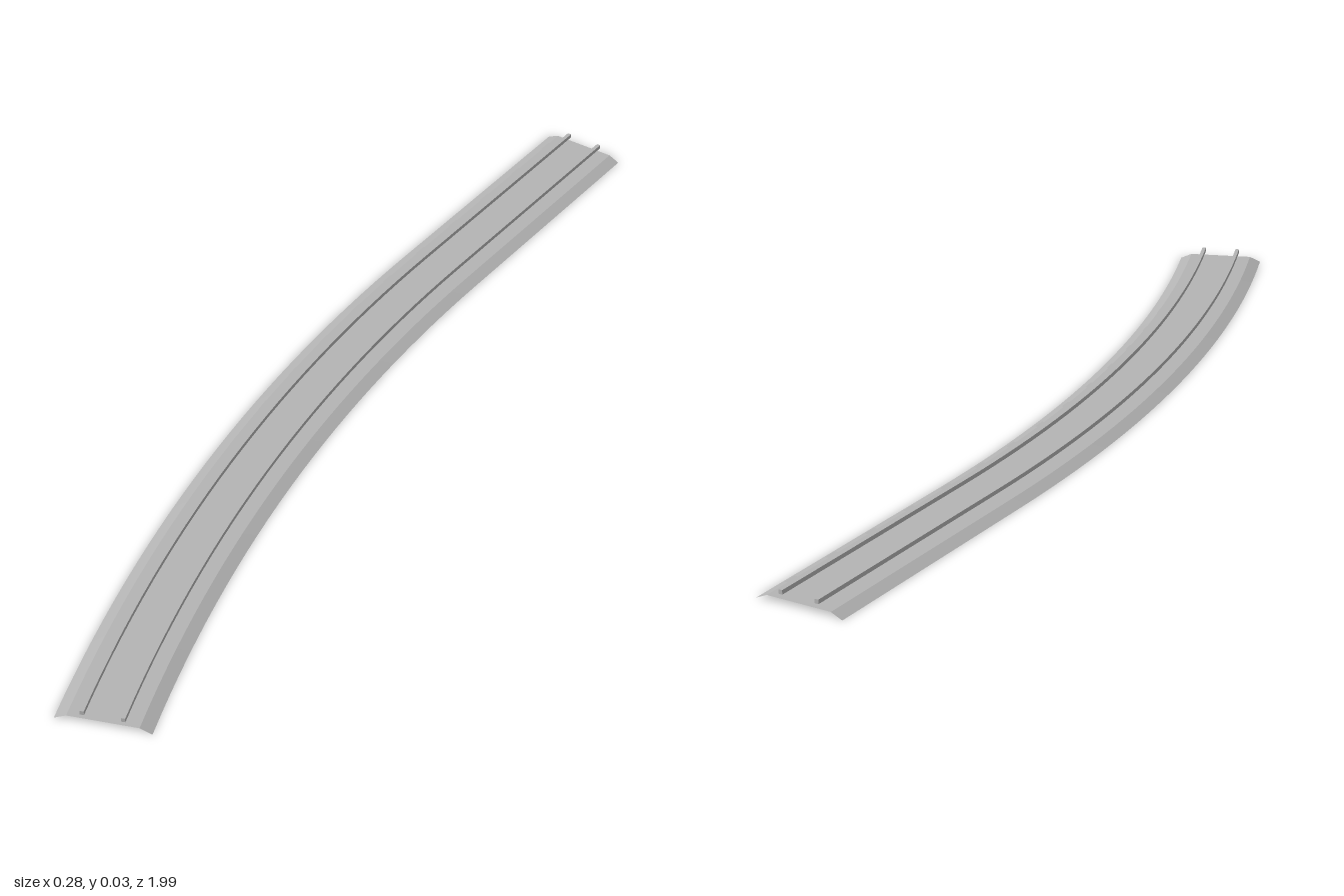
import * as THREE from 'three';

const Z0 = -0.987, Z1 = 0.975, BEND = -0.45; // track ends and the start of the curve
const SLOPE = -0.14, RATE = 0.27;

// Point at height y, offset sideways from the centre line (straight, then curving)
function trackPoint(z, offset, y) {
  const b = Math.max(0, z - BEND);
  const x = 0.053 + SLOPE * (z - Z0) + RATE * b * b / 2;
  const s = SLOPE + RATE * b, n = Math.hypot(1, s);
  return [x + offset / n, y, z - offset * s / n];
}

// Sweep a cross-section of [offset, y] points along the track, sharp across and smooth along
function sweep(profile, from, to, steps, capped = false) {
  const pos = [], idx = [];
  for (let j = 0; j < profile.length - 1; j++) {
    const base = pos.length / 3;
    for (let i = 0; i <= steps; i++) {
      const z = from + (to - from) * i / steps;
      pos.push(...trackPoint(z, ...profile[j]), ...trackPoint(z, ...profile[j + 1]));
      if (i < steps) {
        const a = base + i * 2;
        idx.push(a, a + 2, a + 1, a + 1, a + 2, a + 3);
      }
    }
  }
  if (capped) {
    for (const [z, front] of [[from, false], [to, true]]) {
      const base = pos.length / 3;
      for (let j = 0; j < 4; j++) pos.push(...trackPoint(z, ...profile[j]));
      const f = [0, 2, 1, 0, 3, 2], b = [0, 1, 2, 0, 2, 3];
      idx.push(...(front ? f : b).map((k) => base + k));
    }
  }
  const g = new THREE.BufferGeometry();
  g.setAttribute('position', new THREE.Float32BufferAttribute(pos, 3));
  g.setIndex(idx);
  g.computeVertexNormals();
  return g;
}

export function createModel() {
  const group = new THREE.Group();
  group.name = 'curvedTrack';
  const grey = new THREE.MeshStandardMaterial({ color: 0xb4b4b4, side: THREE.DoubleSide });
  grey.name = 'stone grey';
  const add = (name, geometry) => {
    const mesh = new THREE.Mesh(geometry, grey);
    mesh.name = name;
    group.add(mesh);
  };

  // Ballast bed: an open shell with a flat top and sloping shoulders
  add('ballast', sweep([[-0.086, 0], [-0.064, 0.01], [0.064, 0.01], [0.086, 0]], Z0, Z1, 40));

  // Rails
  const w = 0.0038, low = 0.018, high = 0.026;
  for (const [name, c] of [['rightRail', -0.036], ['leftRail', 0.036]]) {
    const section = [[c - w, low], [c - w, high], [c + w, high], [c + w, low], [c - w, low]];
    add(name, sweep(section, Z0, Z1, 40, true));
  }

  // Sleepers: flat plates just under the rails
  const count = 17, pitch = (Z1 - Z0) / count;
  for (let i = 0; i < count; i++) {
    const z = Z0 + pitch * (i + 0.5);
    add('sleeper', sweep([[-0.06, 0.0176], [0.06, 0.0176]], z - 0.014, z + 0.014, 1));
  }
  return group;
}
